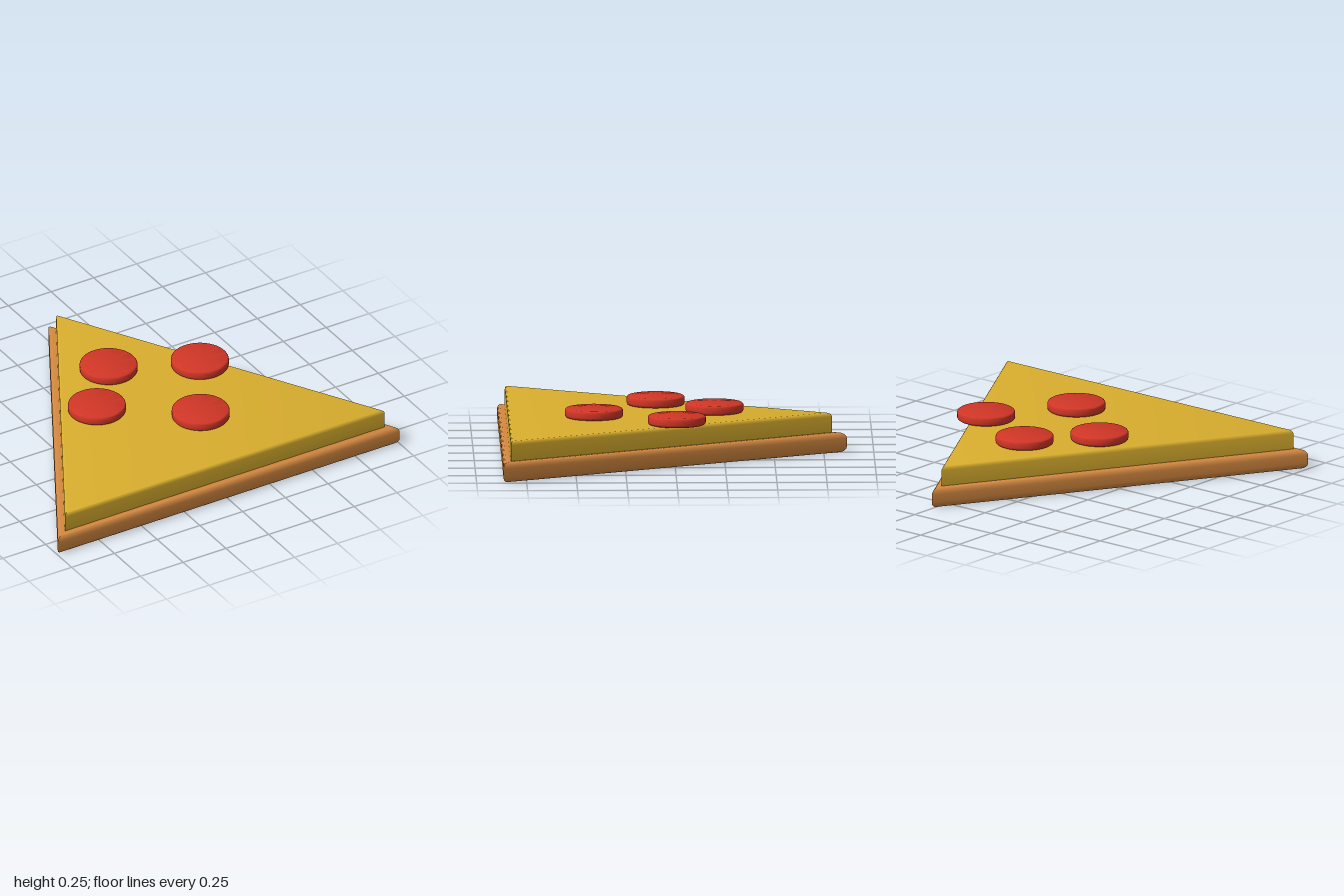
import * as THREE from 'three';
import { toCreasedNormals } from 'three/addons/utils/BufferGeometryUtils.js';

const material = (name, color) => {
  const m = new THREE.MeshStandardMaterial({ color });
  m.name = name;
  return m;
};

// Equilateral slab with softly rounded rims; inset moves its edges inward
function triangleSlab(inset, bottom, top, bevel) {
  const edge = inset + bevel * Math.SQRT1_2; // the bevel grows a 60 degree corner by this much
  const halfWidth = 1 - Math.sqrt(3) * edge;
  const base = 0.866 - edge, apex = -0.866 + 2 * edge;
  const shape = new THREE.Shape([
    new THREE.Vector2(-halfWidth, -base),
    new THREE.Vector2(halfWidth, -base),
    new THREE.Vector2(0, -apex),
  ]);
  const geometry = new THREE.ExtrudeGeometry(shape, {
    depth: top - bottom - 2 * bevel,
    bevelSize: bevel, bevelThickness: bevel, bevelSegments: 4,
  });
  geometry.rotateX(-Math.PI / 2).translate(0, bottom + bevel, 0);
  return toCreasedNormals(geometry, 0.7);
}

// Round slice with rounded rims, standing on y = 0
function discGeometry(radius, height, r) {
  const profile = [new THREE.Vector2(0, 0)];
  for (const [y, start] of [[r, -Math.PI / 2], [height - r, 0]]) {
    for (let i = 0; i <= 4; i++) {
      const a = start + (i / 4) * Math.PI / 2;
      profile.push(new THREE.Vector2(radius - r + r * Math.cos(a), y + r * Math.sin(a)));
    }
  }
  profile.push(new THREE.Vector2(0, height));
  return toCreasedNormals(new THREE.LatheGeometry(profile, 48), 0.6);
}

export function createModel() {
  const model = new THREE.Group();
  model.name = 'pizzaSlice';
  const add = (name, geometry, mat) => {
    const mesh = new THREE.Mesh(geometry, mat);
    mesh.name = name;
    model.add(mesh);
    return mesh;
  };

  // Dough base and cheese layer
  add('crust', triangleSlab(0, 0, 0.1, 0.03), material('crustBrown', 0xd2873f));
  add('cheese', triangleSlab(0.0375, 0.08, 0.2, 0.02), material('cheeseYellow', 0xd9ae2e));

  // Pepperoni slices, one hanging over the side
  const red = material('pepperoniRed', 0xd03626);
  const slice = discGeometry(0.145, 0.047, 0.013);
  [[-0.05, -0.205], [0.365, -0.01], [-0.295, 0.085], [0.12, 0.4]].forEach(([x, z], i) => {
    add(`pepperoni${i + 1}`, slice, red).position.set(x, 0.199, z);
  });
  return model;
}
